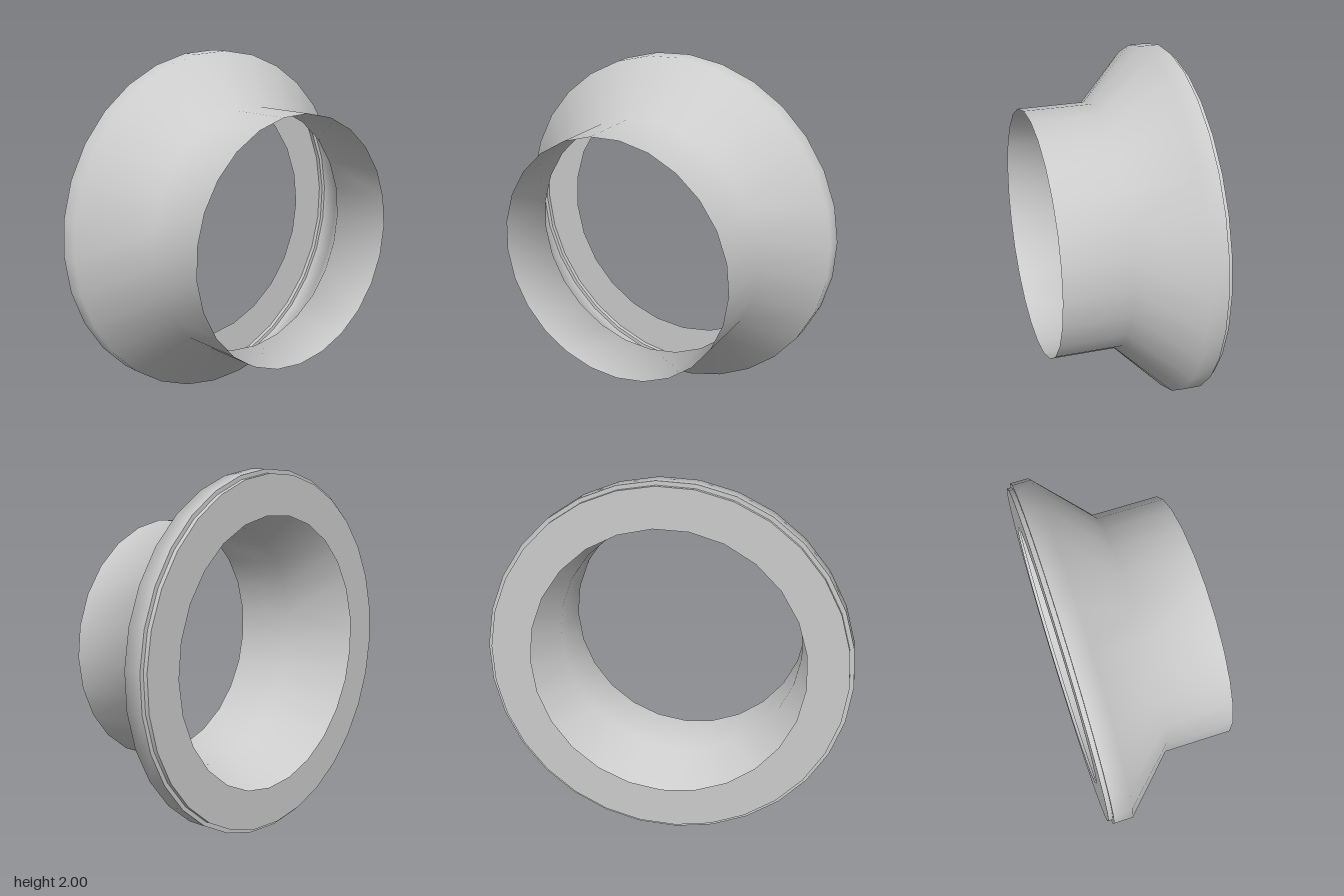
import * as THREE from 'three';

const CENTRE_Y = 1;

// Ring of points around the z axis; start is degrees clockwise from the top.
function ring(radius, z, count, start) {
  return { radius, z, count, start: THREE.MathUtils.degToRad(start) };
}

// Skins a list of rings from front to back; neighbours may differ in side count.
function loft(rings) {
  const points = [], index = [], first = [];
  for (const r of rings) {
    first.push(points.length / 3);
    for (let i = 0; i < r.count; i++) {
      const a = r.start + (i / r.count) * Math.PI * 2;
      points.push(Math.sin(a) * r.radius, CENTRE_Y + Math.cos(a) * r.radius, r.z);
    }
  }
  for (let k = 0; k < rings.length - 1; k++) {
    const A = rings[k], B = rings[k + 1];
    const a = (i) => first[k] + (i % A.count);
    const b = (j) => first[k + 1] + (j % B.count);
    let i = 0, j = 0;
    // Step along whichever ring lags behind, closing the band with triangles
    while (i < A.count || j < B.count) {
      const nextA = A.start + ((i + 1) / A.count) * Math.PI * 2;
      const nextB = B.start + ((j + 1) / B.count) * Math.PI * 2;
      if (j >= B.count || (i < A.count && nextA <= nextB)) {
        index.push(a(i), a(i + 1), b(j));
        i++;
      } else {
        index.push(a(i), b(j + 1), b(j));
        j++;
      }
    }
  }
  const geometry = new THREE.BufferGeometry();
  geometry.setAttribute('position', new THREE.Float32BufferAttribute(points, 3));
  geometry.setIndex(index);
  geometry.computeVertexNormals();
  return geometry;
}

export function createModel() {
  const group = new THREE.Group();
  group.name = 'flaredCollar';
  const material = new THREE.MeshStandardMaterial({ color: 0xcccccc, side: THREE.DoubleSide });

  const add = (name, rings) => {
    const mesh = new THREE.Mesh(loft(rings), material);
    mesh.name = name;
    group.add(mesh);
  };

  // Thin straight tube opening into a wide cone and rim
  add('flaredTube', [
    ring(0.707, 0.4, 25, 5),
    ring(0.707, 0.02, 25, 5),
    ring(1, -0.27, 30, 3),
    ring(1, -0.375, 30, 3),
  ]);

  // Small step in behind the rim
  add('rimStep', [ring(1, -0.375, 30, 3), ring(0.977, -0.375, 30, 3)]);
  add('rimLip', [ring(0.977, -0.375, 30, 3), ring(0.977, -0.4, 30, 3)]);

  // Flat plate closing the back around the opening
  add('backPlate', [ring(0.977, -0.4, 30, 3), ring(0.757, -0.4, 25, 5)]);

  return group;
}
